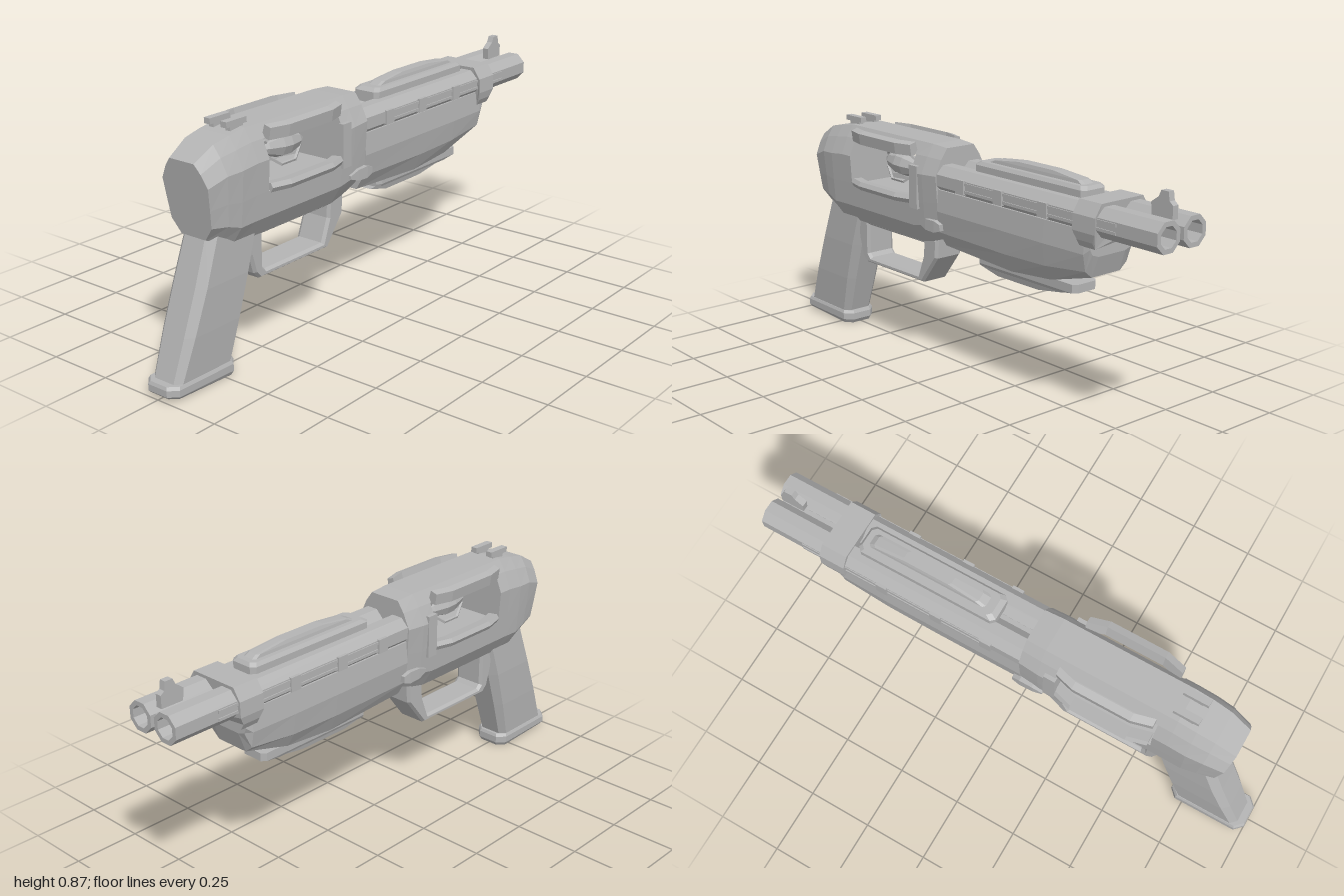
import * as THREE from 'three';

const grey = new THREE.MeshStandardMaterial({ color: 0xb4b4b4 });
grey.name = 'plain grey';

// Faceted mesh
function part(group, name, geo) {
  const flat = geo.index ? geo.toNonIndexed() : geo;
  flat.computeVertexNormals();
  const mesh = new THREE.Mesh(flat, grey);
  mesh.name = name;
  group.add(mesh);
  return mesh;
}

// Closed skin through rings of [x, y, z] points, capped at both ends
function loft(rings) {
  const n = rings[0].length, pos = rings.flat(2), idx = [];
  for (let i = 0; i < rings.length - 1; i++) {
    for (let j = 0; j < n; j++) {
      const k = (j + 1) % n, a = i * n + j, b = i * n + k;
      idx.push(a, a + n, b + n, a, b + n, b);
    }
  }
  const last = (rings.length - 1) * n;
  for (let j = 1; j < n - 1; j++) idx.push(0, j, j + 1, last, last + j + 1, last + j);
  const geo = new THREE.BufferGeometry();
  geo.setAttribute('position', new THREE.Float32BufferAttribute(pos, 3));
  geo.setIndex(idx);
  return geo;
}

// Symmetric ring across x from half profile [y, halfWidth] listed bottom to top
const halfRing = (x, prof) => [
  ...prof.map(([y, w]) => [x, y, w]),
  ...prof.slice().reverse().map(([y, w]) => [x, y, -w]),
];

// Level chamfered rectangle, for lofting upward
const levelRing = (y, x0, x1, w, c, tilt = 0) => [
  [x1 - c, w], [x0 + c, w], [x0, w - c], [x0, c - w],
  [x0 + c, -w], [x1 - c, -w], [x1, c - w], [x1, w - c],
].map(([x, z]) => [x, y + tilt * (x - x0), z]);

const mirrorRings = (rings) => rings.map((r) => r.map(([x, y, z]) => [x, y, -z]).reverse());

function bothSides(group, name, rings) {
  part(group, name + 'Left', loft(rings));
  part(group, name + 'Right', loft(mirrorRings(rings)));
}

function box(group, name, x0, x1, y0, y1, z0, z1) {
  const geo = new THREE.BoxGeometry(x1 - x0, y1 - y0, z1 - z0);
  geo.translate((x0 + x1) / 2, (y0 + y1) / 2, (z0 + z1) / 2);
  return part(group, name, geo);
}

const octagon = (r, Type) => new Type(Array.from({ length: 8 }, (_, i) => {
  const a = (i + 0.5) * Math.PI / 4;
  return new THREE.Vector2(r * Math.cos(a), r * Math.sin(a));
}));
const outline = (pts, Type = THREE.Shape) => new Type(pts.map(([x, y]) => new THREE.Vector2(x, y)));

export function createModel() {
  const g = new THREE.Group();
  g.name = 'doubleBarrelPistol';

  // Receiver: solid ends joined above and below an open window
  const prof = [[0.46, 0.065], [0.53, 0.108], [0.62, 0.115], [0.73, 0.122], [0.795, 0.094], [0.84, 0.065]];
  const body = (x, lo, hi, s = 1, slant = 0) =>
    halfRing(x, prof.map(([y, w]) => [lo + (y - 0.46) / 0.38 * (hi - lo), w * s]))
      .map(([px, y, z]) => [px + slant * (hi - y) / (hi - lo), y, z]);
  part(g, 'receiverRear', loft([
    body(-0.85, 0.505, 0.77, 0.82, 0.04), body(-0.77, 0.485, 0.815, 0.95, 0.02),
    body(-0.7, 0.46, 0.83), body(-0.63, 0.46, 0.84), body(-0.575, 0.46, 0.84),
  ]));
  part(g, 'receiverFront', loft([
    body(-0.195, 0.46, 0.84), body(-0.13, 0.475, 0.84), body(-0.055, 0.5, 0.835, 0.96),
  ]));
  for (const [name, slice] of [['receiverFloor', prof.slice(0, 3)], ['receiverRoof', prof.slice(4)]]) {
    part(g, name, loft([halfRing(-0.575, slice), halfRing(-0.195, slice)]));
  }

  // Bowed rails above and below the window
  const rail = (pts) => [[-0.565, -0.015], [-0.49, 0.005], [-0.27, 0.005], [-0.2, -0.015]]
    .map(([x, d]) => pts.map(([z, y]) => [x, y, z + d]));
  bothSides(g, 'windowUpperRail', rail([[0.128, 0.79], [0.134, 0.832], [0.107, 0.84], [0.095, 0.795]]));
  bothSides(g, 'windowLowerRail', rail([[0.13, 0.613], [0.14, 0.63], [0.13, 0.645], [0.09, 0.64], [0.09, 0.613]]));
  for (const s of [-1, 1]) {
    const z = s * 0.115;
    box(g, 'windowFrontPost', -0.2, -0.155, 0.6, 0.76, z - 0.01, z + 0.01);
  }
  bothSides(g, 'sideLug', [[-0.15, 0.006], [-0.11, 0.02], [-0.06, 0.022], [-0.03, 0.012]].map(([x, h]) =>
    [[0.118 + h / 4, 0.553 - h], [0.118 + h / 4, 0.553 + h], [0.09, 0.553 + h], [0.09, 0.553 - h]]
      .map(([z, y]) => [x, y, z])));

  // Pointed core and its wire cage
  const spindle = new THREE.LatheGeometry([[0, -0.12], [0.028, -0.08], [0.045, -0.02], [0.045, 0.02], [0.028, 0.08], [0, 0.12]]
    .map(([r, y]) => new THREE.Vector2(r, y)), 8);
  spindle.rotateZ(Math.PI / 2 - 0.05).translate(-0.385, 0.715, 0);
  part(g, 'core', spindle);
  for (const a of [-0.5, 0.5]) {
    const ring = new THREE.TorusGeometry(0.078, 0.006, 4, 8);
    ring.rotateZ(Math.PI / 8).scale(1.2, 1, 1).rotateX(a).translate(-0.385, 0.72, 0);
    part(g, 'coreCage', ring);
  }

  // Twin octagonal barrels with open bores
  for (const s of [-1, 1]) {
    const shape = octagon(0.0555, THREE.Shape);
    shape.holes.push(octagon(0.038, THREE.Path));
    const tube = new THREE.ExtrudeGeometry(shape, { depth: 1.06, bevelEnabled: false });
    tube.rotateY(Math.PI / 2).translate(-0.06, 0.725, s * 0.06);
    part(g, 'barrel', tube);
    const z = s * 0.109;
    box(g, 'sideRailUpper', 0.06, 0.83, 0.732, 0.742, z - 0.006, z + 0.006);
    box(g, 'sideRailLower', 0.06, 0.83, 0.705, 0.715, z - 0.006, z + 0.006);
    for (const x of [0.08, 0.28, 0.5]) {
      box(g, 'railClip', x - 0.022, x + 0.022, 0.698, 0.75, z - 0.01, z + 0.01);
    }
  }
  box(g, 'barrelWeb', -0.06, 0.98, 0.7, 0.745, -0.012, 0.012);

  // Fore-end under the barrels
  const fore = (x, lo, mid, up, top, s = 1) =>
    halfRing(x, [[lo, 0.068 * s], [mid, 0.1 * s], [up, 0.112 * s], [top, 0.105 * s]]);
  part(g, 'foreEnd', loft([
    fore(-0.055, 0.475, 0.53, 0.61, 0.69), fore(0.3, 0.458, 0.525, 0.61, 0.69),
    fore(0.5, 0.475, 0.53, 0.61, 0.69), fore(0.685, 0.525, 0.55, 0.61, 0.69, 0.96),
    fore(0.71, 0.6, 0.61, 0.63, 0.69, 0.9),
  ]));
  part(g, 'foreEndLowerPlate', loft([
    levelRing(0.404, 0.17, 0.4, 0.025, 0.01), levelRing(0.425, 0.09, 0.52, 0.03, 0.01),
    levelRing(0.435, 0.1, 0.54, 0.05, 0.015), levelRing(0.445, 0.1, 0.6, 0.055, 0.015),
    levelRing(0.475, 0.1, 0.6, 0.055, 0.015),
  ]));

  // Stepped rib over the barrels
  part(g, 'topRib', loft([
    levelRing(0.76, 0.08, 0.63, 0.055, 0.015), levelRing(0.8, 0.08, 0.63, 0.055, 0.015),
    levelRing(0.812, 0.1, 0.62, 0.045, 0.015),
  ]));
  part(g, 'topRibCrown', loft([
    levelRing(0.8, 0.1, 0.62, 0.03, 0.01), levelRing(0.823, 0.16, 0.58, 0.026, 0.01),
    levelRing(0.835, 0.27, 0.46, 0.022, 0.01),
  ]));

  // Clamp around the barrels
  const clamp = [[0.637, 0.105], [0.66, 0.118], [0.69, 0.125], [0.745, 0.123], [0.788, 0.095]];
  const clampFace = (a, b) => clamp.map(([y, w]) => [y, w]).length && [
    ...halfRing(a, clamp).map(([x, y, z]) => [y < 0.68 ? b : x, y, z]),
  ];
  part(g, 'barrelClamp', loft([clampFace(0.65, 0.665), clampFace(0.75, 0.735)]));

  // Front and rear sights
  const blade = new THREE.ExtrudeGeometry(outline([
    [0.885, 0.765], [0.97, 0.765], [0.97, 0.81], [0.955, 0.822], [0.95, 0.852], [0.92, 0.852], [0.91, 0.83], [0.88, 0.808],
  ]), { depth: 0.024, bevelEnabled: false });
  part(g, 'frontSight', blade.translate(0, 0, -0.012));
  for (const s of [-1, 1]) {
    const z = s * 0.036;
    box(g, 'rearSightStem', -0.675, -0.615, 0.81, 0.855, z - 0.01, z + 0.01);
    box(g, 'rearSightCap', -0.695, -0.6, 0.848, 0.868, z - 0.013, z + 0.013);
  }

  // Trigger guard loop
  const guard = outline([
    [-0.62, 0.47], [-0.61, 0.39], [-0.59, 0.32], [-0.565, 0.295], [-0.21, 0.295], [-0.125, 0.405], [-0.12, 0.48],
  ]);
  guard.holes.push(outline([[-0.55, 0.45], [-0.2, 0.45], [-0.203, 0.405], [-0.235, 0.32], [-0.535, 0.32], [-0.55, 0.335]], THREE.Path));
  const loop = new THREE.ExtrudeGeometry(guard, {
    depth: 0.1, bevelSize: 0.008, bevelOffset: -0.008, bevelThickness: 0.012, bevelSegments: 1,
  });
  part(g, 'triggerGuard', loop.translate(0, 0, -0.05));

  // Raked grip and its base cap
  part(g, 'grip', loft([
    levelRing(0.04, -0.975, -0.71, 0.064, 0.022), levelRing(0.2, -0.918, -0.66, 0.073, 0.026),
    levelRing(0.35, -0.862, -0.613, 0.076, 0.028), levelRing(0.52, -0.8, -0.56, 0.072, 0.028),
  ]));
  part(g, 'gripBase', loft([
    levelRing(0.012, -0.99, -0.7, 0.064, 0.025, -0.04), levelRing(0.022, -1, -0.69, 0.072, 0.03, -0.02),
    levelRing(0.045, -1, -0.69, 0.072, 0.03, -0.01), levelRing(0.056, -0.995, -0.695, 0.067, 0.03, -0.01),
  ]));
  return g;
}
